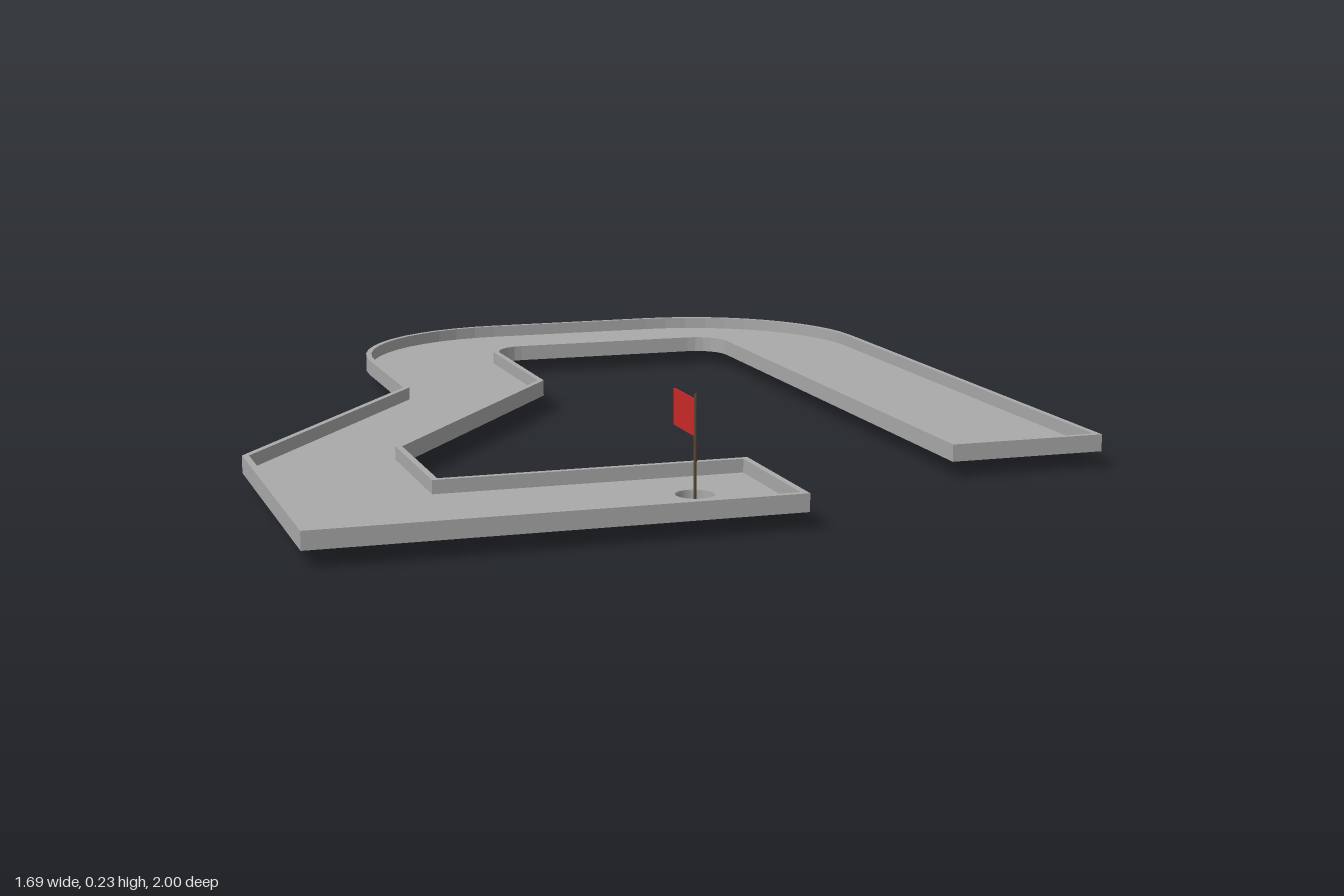
import * as THREE from 'three';

const BASE = 0.033, FLOOR = 0.041, TOP = 0.068, RIM = 0.013;
const CUP = { x: -0.078, z: 0.832, r: 0.038 };

// Points of a rounded corner, angles in quarter turns
function arc(cx, cz, rx, rz, from, to, n) {
  return Array.from({ length: n + 1 }, (_, i) => {
    const a = (from + (to - from) * i / n) * Math.PI / 2;
    return new THREE.Vector2(cx + rx * Math.cos(a), cz + rz * Math.sin(a));
  });
}

// Course outline in plan; the second coordinate is -z
function outline() {
  const p = (x, z) => new THREE.Vector2(x, -z);
  return [
    p(0.845, 0.69),
    ...arc(0.435, 0.59, 0.41, 0.41, 0, 1, 12),
    ...arc(0.02, 0.59, 0.41, 0.41, 1, 2, 12),
    p(-0.39, -0.23), p(-0.845, 0.37), p(-0.845, 0.995),
    p(0.085, 0.995), p(0.085, 0.675), p(-0.53, 0.675), p(-0.53, 0.38),
    p(-0.067, -0.22),
    ...arc(0.008, 0.602, 0.075, 0.075, 2, 1, 6),
    ...arc(0.44, 0.602, 0.075, 0.075, 1, 0, 6),
    p(0.515, 0.69),
  ];
}

// Mitred inward offset of a counter-clockwise outline
function inset(pts, d) {
  const n = pts.length;
  const normal = (a, b) => {
    const e = b.clone().sub(a).normalize();
    return new THREE.Vector2(-e.y, e.x);
  };
  return pts.map((p, i) => {
    const n1 = normal(pts[(i + n - 1) % n], p);
    const n2 = normal(p, pts[(i + 1) % n]);
    const m = n1.clone().add(n2);
    return p.clone().addScaledVector(m, d / (1 + n1.dot(n2)));
  });
}

// Plan shape extruded between two heights
function slab(shape, y0, y1) {
  return new THREE.ExtrudeGeometry(shape, { depth: y1 - y0, bevelEnabled: false, curveSegments: 32 })
    .rotateX(-Math.PI / 2).translate(0, y0, 0);
}

export function createModel() {
  const group = new THREE.Group();
  const mat = (name, color, extra = {}) => {
    const m = new THREE.MeshStandardMaterial({ color, ...extra });
    m.name = name;
    return m;
  };
  const grey = mat('course grey', 0xaaaaaa);
  const brown = mat('pole brown', 0x5c4630);
  const red = mat('flag red', 0xcc2a2a);
  const add = (name, geometry, material) => {
    const mesh = new THREE.Mesh(geometry, material);
    mesh.name = name;
    group.add(mesh);
    return mesh;
  };

  const outer = outline();
  const inner = inset(outer, RIM);

  // Floor with the round hole
  const floor = new THREE.Shape(inner);
  floor.holes.push(new THREE.Path().absarc(CUP.x, -CUP.z, CUP.r - 0.001, 0, Math.PI * 2, true));
  add('courseFloor', slab(floor, BASE, FLOOR), grey);

  // Raised border all the way round
  const border = new THREE.Shape(outer);
  border.holes.push(new THREE.Path(inner));
  add('courseBorder', slab(border, BASE, TOP), grey);

  // Cup below the hole, with a closed bottom
  const profile = [[0, 0], [CUP.r, 0], [CUP.r, FLOOR - 0.002], [CUP.r - 0.002, FLOOR - 0.002],
    [CUP.r - 0.002, 0.004], [0, 0.004]].map(([x, y]) => new THREE.Vector2(x, y));
  // Repeated corners keep the edges sharp
  for (let i = 0; i < profile.length - 1; i++) {
    const part = new THREE.LatheGeometry([profile[i], profile[i + 1]], 32);
    add('cup', part, grey).position.set(CUP.x, 0, CUP.z);
  }

  // Pole and flag
  add('flagPole', new THREE.CylinderGeometry(0.003, 0.003, 0.226, 12), brown)
    .position.set(CUP.x, 0.117, CUP.z);
  add('flag', new THREE.BoxGeometry(0.003, 0.07, 0.117), red)
    .position.set(CUP.x, 0.185, CUP.z - 0.0605);

  return group;
}
